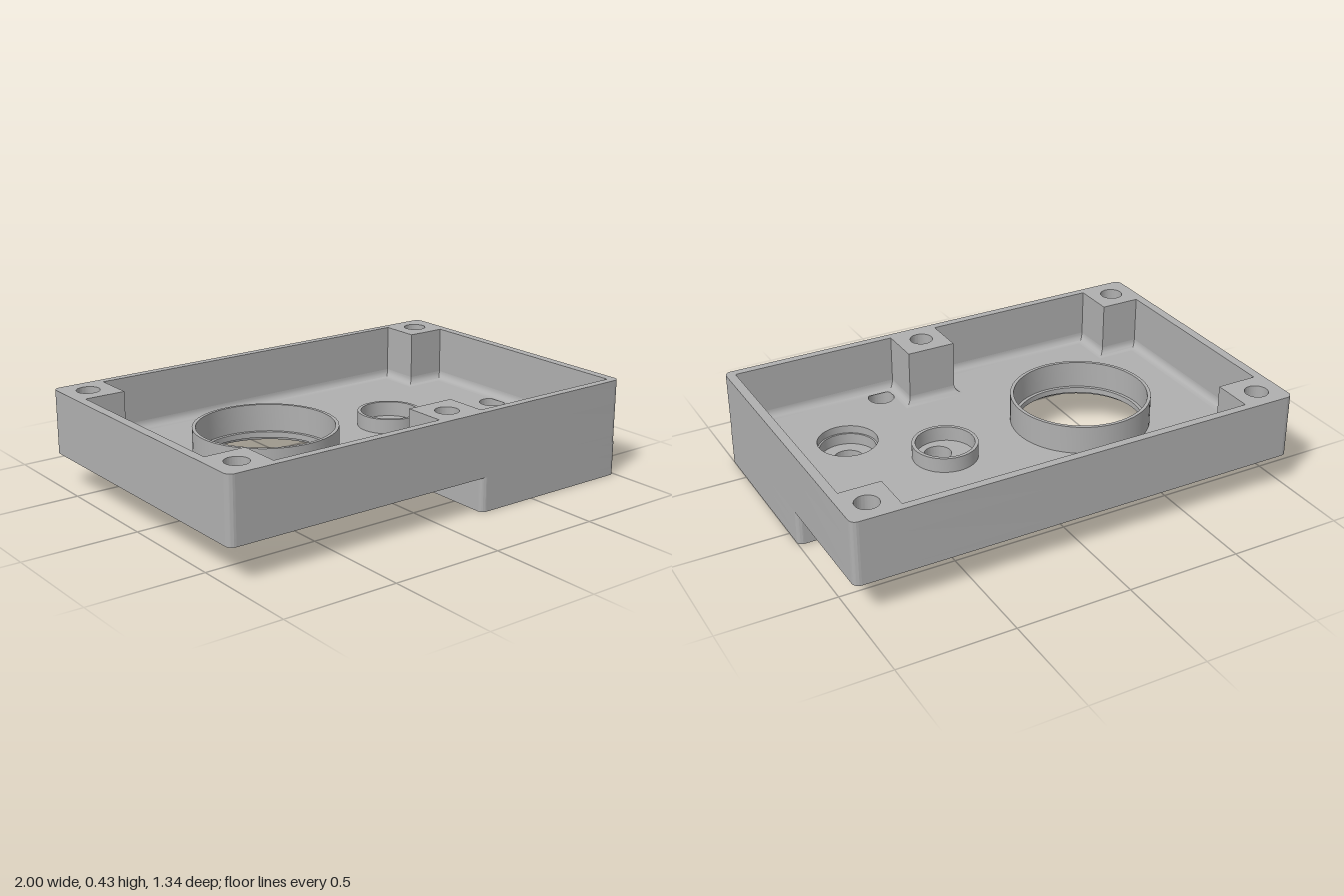
import * as THREE from 'three';
import { toCreasedNormals } from 'three/addons/utils/BufferGeometryUtils.js';

const FLOOR = 0.185, BASE = 0.15, TOP = 0.43;

// Rounded rectangle in plan; plan z is stored as -y
function plate(x0, z0, x1, z1, r) {
  const s = new THREE.Shape(), a = -z1, b = -z0;
  s.absarc(x1 - r, a + r, r, -Math.PI / 2, 0);
  s.absarc(x1 - r, b - r, r, 0, Math.PI / 2);
  s.absarc(x0 + r, b - r, r, Math.PI / 2, Math.PI);
  s.absarc(x0 + r, a + r, r, Math.PI, Math.PI * 1.5);
  s.closePath();
  return s;
}

function drill(shape, centres, r) {
  for (const [x, z] of centres) {
    const p = new THREE.Path();
    p.absarc(x, -z, r, 0, Math.PI * 2, true);
    shape.holes.push(p);
  }
  return shape;
}

// Inner edge of the cavity, counterclockwise in (x, -z), stepping round the bosses
const cavity = [
  [-0.78, -0.635], [0.01, -0.635], [0.01, -0.45], [0.23, -0.45], [0.23, -0.635], [0.96, -0.635],
  [0.96, 0.455], [0.78, 0.455], [0.78, 0.635], [-0.78, 0.635], [-0.78, 0.455],
  [-0.96, 0.455], [-0.96, -0.45], [-0.78, -0.45],
];

// Cavity edge moved inwards by d
function inset(d) {
  const n = cavity.length;
  return cavity.map((p, i) => {
    const a = cavity[(i + n - 1) % n], b = cavity[(i + 1) % n];
    const normal = (u, v) => [-Math.sign(v[1] - u[1]), Math.sign(v[0] - u[0])];
    const m = normal(a, p), k = normal(p, b);
    return [p[0] + d * (m[0] + k[0]), p[1] + d * (m[1] + k[1])];
  });
}

// Concave fillet between the floor and the cavity walls
function filletGeometry(r, steps) {
  const rows = [], pos = [];
  for (let i = 0; i <= steps; i++) {
    const t = (i / steps) * Math.PI / 2;
    const y = FLOOR + r * (1 - Math.cos(t)) + 0.0005;
    rows.push(inset(r * (1 - Math.sin(t))).map(([x, v]) => [x, y, -v]));
  }
  for (let i = 0; i < steps; i++) {
    for (let j = 0; j < cavity.length; j++) {
      const k = (j + 1) % cavity.length;
      const a = rows[i][j], b = rows[i][k], c = rows[i + 1][k], d = rows[i + 1][j];
      pos.push(...a, ...c, ...b, ...a, ...d, ...c);
    }
  }
  const g = new THREE.BufferGeometry();
  g.setAttribute('position', new THREE.Float32BufferAttribute(pos, 3));
  return toCreasedNormals(g, 0.6);
}

export function createModel() {
  const group = new THREE.Group();
  const metal = new THREE.MeshStandardMaterial({ color: 0xb0b0b0 });
  metal.name = 'grey metal';

  const add = (name, geometry) => {
    const mesh = new THREE.Mesh(geometry, metal);
    mesh.name = name;
    group.add(mesh);
    return mesh;
  };
  const layer = (name, shape, y0, y1) => {
    const g = new THREE.ExtrudeGeometry(shape, { depth: y1 - y0, bevelEnabled: false, curveSegments: 32 });
    g.rotateX(-Math.PI / 2).translate(0, y0, 0);
    add(name, toCreasedNormals(g, 0.6));
  };
  const ring = (name, x, z, profile) => {
    const pts = [...profile, profile[0]].map(([r, y]) => new THREE.Vector2(r, y));
    add(name, toCreasedNormals(new THREE.LatheGeometry(pts, 64), 0.4)).position.set(x, 0, z);
  };

  const bolts = [[-0.89, -0.565], [0.89, -0.565], [-0.89, 0.56], [0.115, 0.56]];
  const screws = [[0.32, 0], [0.89, 0], [0.32, 0.565], [0.89, 0.565]];
  const shaft = [[0.61, 0.28]];
  const bore = [[-0.36, -0.03]];
  const block = () => plate(0.22, -0.1, 1, 0.67, 0.025);
  const body = () => plate(-1, -0.67, 1, 0.67, 0.03);

  // Block under the tray, in layers that step the shaft and screw holes
  layer('blockBottom', drill(drill(block(), shaft, 0.21), screws, 0.033), 0, 0.04);
  layer('blockMiddle', drill(drill(block(), shaft, 0.065), screws, 0.033), 0.04, 0.1);
  layer('blockTop', drill(drill(block(), shaft, 0.122), screws, 0.058), 0.1, BASE);

  // Tray floor
  const floor = drill(drill(body(), shaft, 0.13), screws, 0.058);
  layer('floor', drill(drill(floor, bolts, 0.09), bore, 0.304), BASE, FLOOR);

  // Walls with the bolt bosses, wide bolt holes below and narrow ones above
  const wall = (r) => {
    const s = body();
    s.holes.push(new THREE.Path(cavity.map(([x, v]) => new THREE.Vector2(x, v))));
    return drill(s, bolts, r);
  };
  layer('lowerWall', wall(0.09), FLOOR, 0.33);
  layer('upperWall', wall(0.05), 0.33, TOP);
  add('floorFillet', filletGeometry(0.035, 6));

  // Raised collars on the floor
  ring('largeCollar', -0.36, -0.03, [
    [0.305, BASE], [0.305, 0.31], [0.29, 0.31], [0.29, 0.19],
    [0.275, 0.19], [0.275, 0.165], [0.29, 0.165], [0.295, BASE],
  ]);
  ring('smallCollar', 0.3, -0.03, [
    [0.14, FLOOR - 0.01], [0.14, 0.25], [0.125, 0.25], [0.125, FLOOR - 0.01],
  ]);
  return group;
}
